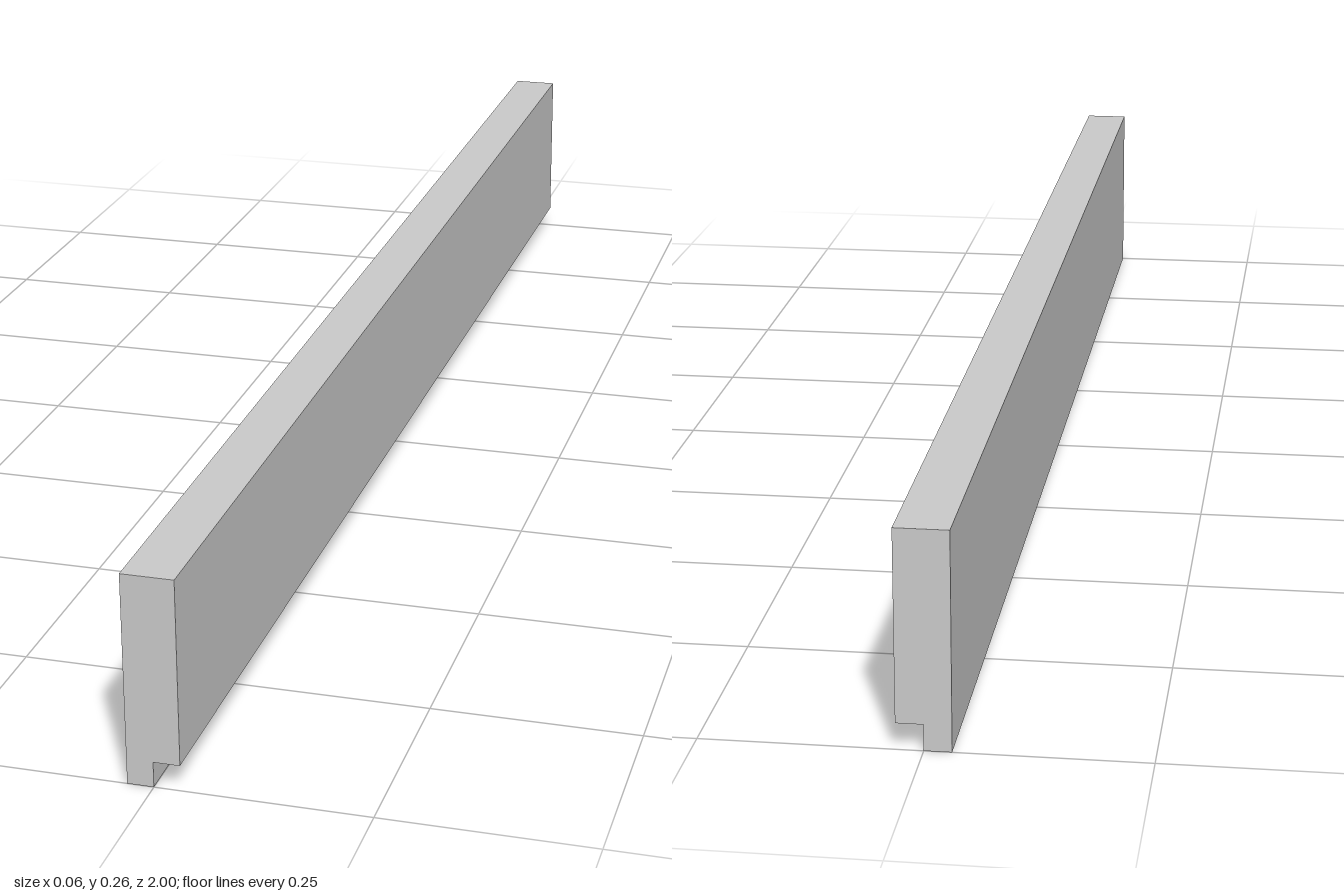
import * as THREE from 'three';

const LENGTH = 2;
const HALF_WIDTH = 0.031;
const HEIGHT = 0.256;
const REBATE = 0.031; // height of the notch along the lower +x edge

export function createModel() {
  const group = new THREE.Group();
  group.name = 'rebatedBoard';

  // Cross-section of the board, with the rebate at lower right
  const section = new THREE.Shape([
    new THREE.Vector2(-HALF_WIDTH, 0),
    new THREE.Vector2(0, 0),
    new THREE.Vector2(0, REBATE),
    new THREE.Vector2(HALF_WIDTH, REBATE),
    new THREE.Vector2(HALF_WIDTH, HEIGHT),
    new THREE.Vector2(-HALF_WIDTH, HEIGHT),
  ]);

  // Run the section along the full length
  const geometry = new THREE.ExtrudeGeometry(section, { depth: LENGTH, bevelEnabled: false });
  geometry.translate(0, 0, -LENGTH / 2);

  const board = new THREE.Mesh(geometry, new THREE.MeshStandardMaterial({ color: 0xcccccc }));
  board.name = 'board';
  group.add(board);
  return group;
}
